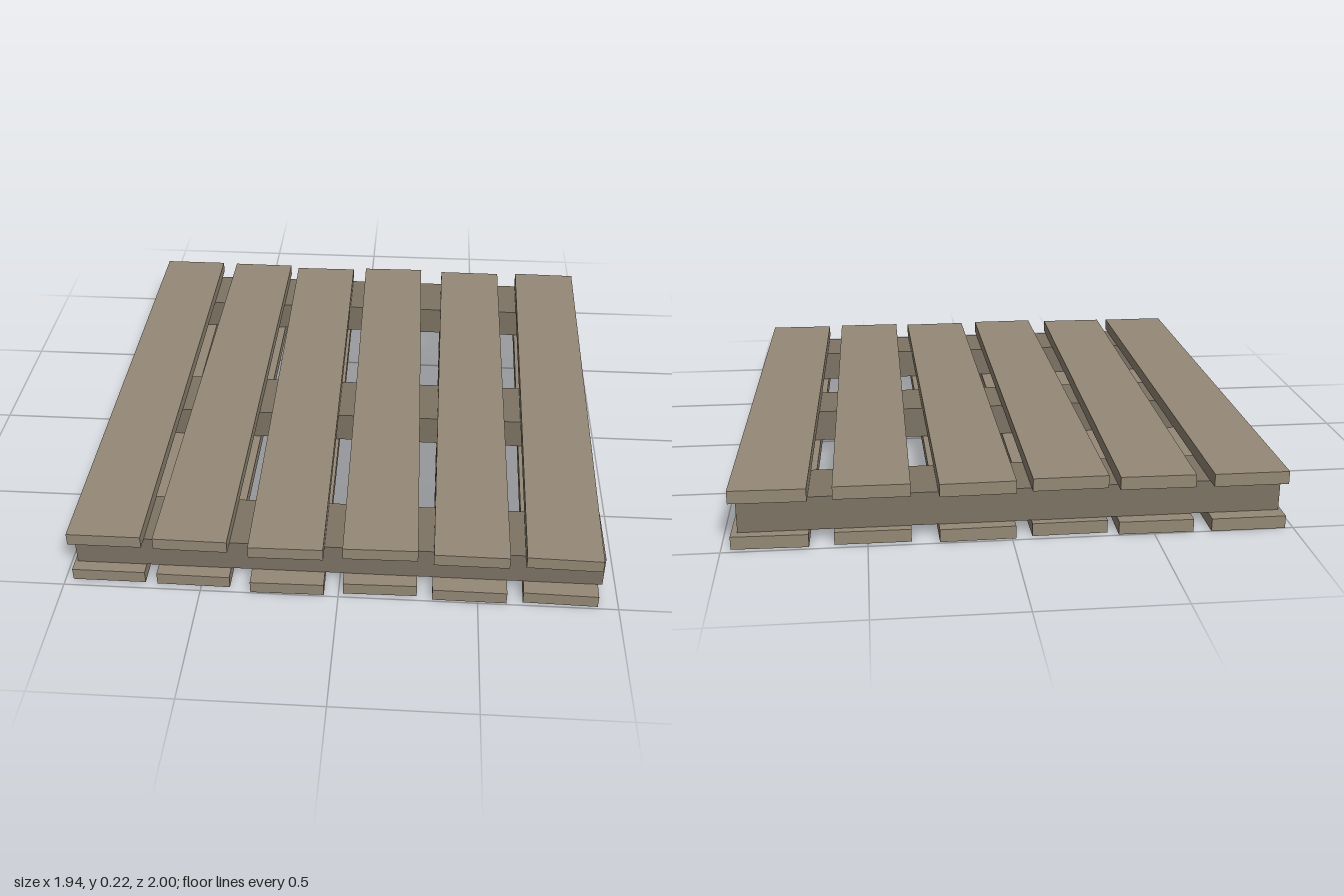
import * as THREE from 'three';

const SLAT = { width: 0.266, height: 0.047, length: 1.97 };
const TOP = 0.217;

// centre x, centre z and sideways drift from back end to front end of each slat
const SLATS = [
  [-0.838, -0.015, 0],
  [-0.518, -0.01, -0.02],
  [-0.195, 0.01, 0.02],
  [0.134, -0.005, 0.03],
  [0.476, 0.008, -0.012],
  [0.814, 0.003, -0.04],
];

// centre z of the three bearers
const BEARERS = [-0.827, 0.018, 0.806];

export function createModel() {
  const pallet = new THREE.Group();
  pallet.name = 'pallet';
  const slatWood = new THREE.MeshStandardMaterial({ color: 0x968a77, flatShading: true });
  const bearerWood = new THREE.MeshStandardMaterial({ color: 0x7e7465, flatShading: true });

  // Two identical decks of slightly skewed slats
  const slatGeometry = new THREE.BoxGeometry(SLAT.width, SLAT.height, SLAT.length);
  for (const [name, y] of [['bottomDeck', SLAT.height / 2], ['topDeck', TOP - SLAT.height / 2]]) {
    const deck = new THREE.Group();
    deck.name = name;
    SLATS.forEach(([x, z, drift], i) => {
      const slat = new THREE.Mesh(slatGeometry, slatWood);
      slat.name = `${name}Slat${i + 1}`;
      slat.position.set(x, y, z);
      slat.rotation.y = Math.atan2(drift, SLAT.length);
      deck.add(slat);
    });
    pallet.add(deck);
  }

  // Bearers between the decks
  const bearerHeight = TOP - 2 * SLAT.height;
  const bearerGeometry = new THREE.BoxGeometry(1.904, bearerHeight, 0.238);
  BEARERS.forEach((z, i) => {
    const bearer = new THREE.Mesh(bearerGeometry, bearerWood);
    bearer.name = `bearer${i + 1}`;
    bearer.position.set(-0.008, TOP / 2, z);
    pallet.add(bearer);
  });

  return pallet;
}
